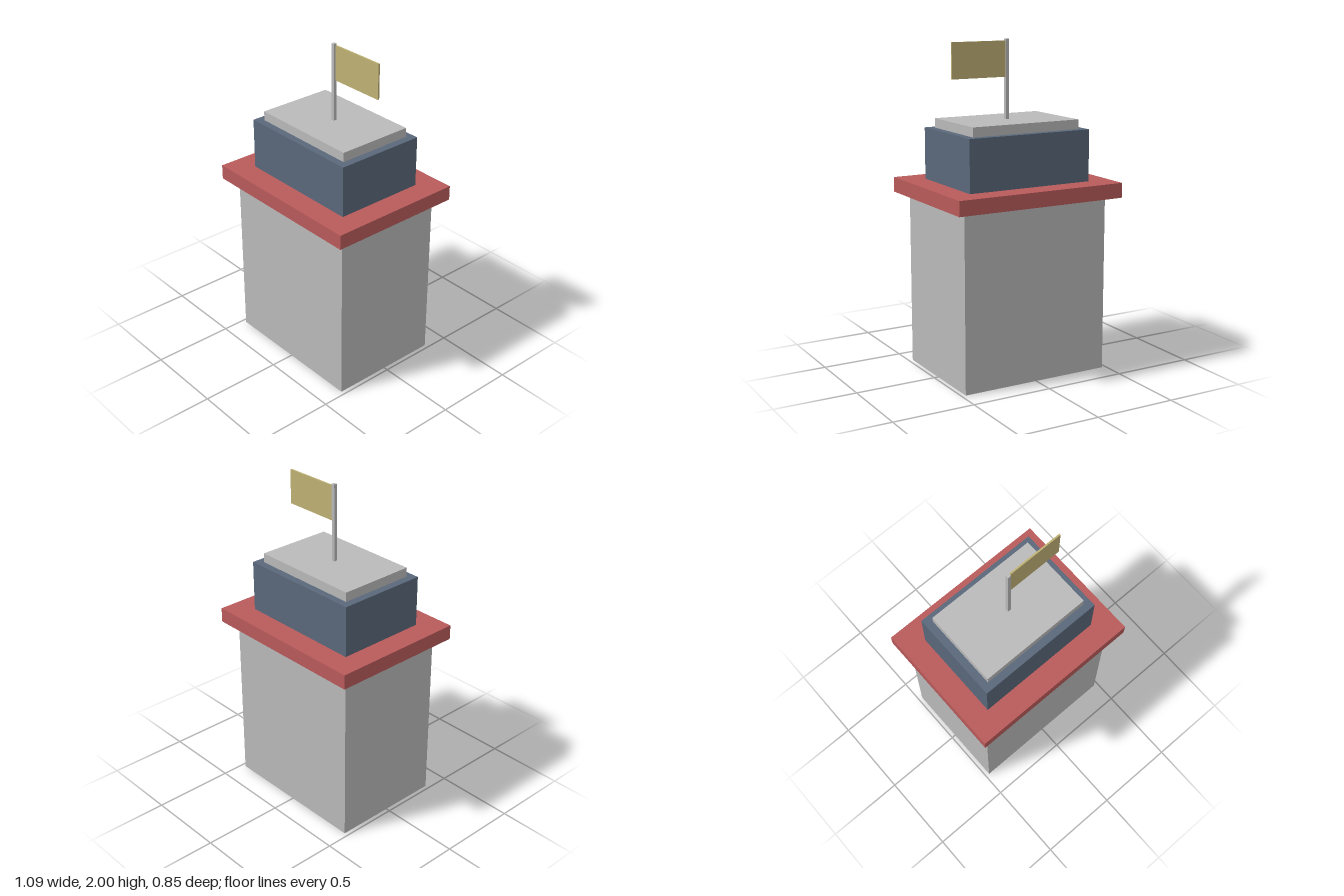
import * as THREE from 'three';

export function createModel() {
  const group = new THREE.Group();
  group.name = 'flaggedTower';

  const material = (name, color) => {
    const m = new THREE.MeshStandardMaterial({ color });
    m.name = name;
    return m;
  };
  const grey = material('lightGrey', 0xbababa);
  const red = material('brickRed', 0xb95a5a);
  const blue = material('slateBlue', 0x5a687a);
  const gold = material('paleGold', 0xc0b275);

  // Box spanning y0 to y1, centred on x and z
  const block = (name, mat, width, depth, y0, y1, x = 0, z = 0) => {
    const mesh = new THREE.Mesh(new THREE.BoxGeometry(width, y1 - y0, depth), mat);
    mesh.name = name;
    mesh.position.set(x, (y0 + y1) / 2, z);
    group.add(mesh);
  };

  // Stacked tiers of the tower
  block('towerBody', grey, 0.948, 0.706, 0, 1.069);
  block('balconySlab', red, 1.088, 0.853, 1.069, 1.159);
  block('cabin', blue, 0.802, 0.567, 1.159, 1.471);
  block('roofSlab', grey, 0.708, 0.476, 1.471, 1.528);

  // Square pole with a flag set against its back half
  block('flagPole', grey, 0.021, 0.021, 1.528, 2);
  block('flag', gold, 0.356, 0.01, 1.778, 1.99, 0.188, -0.0052);

  return group;
}
